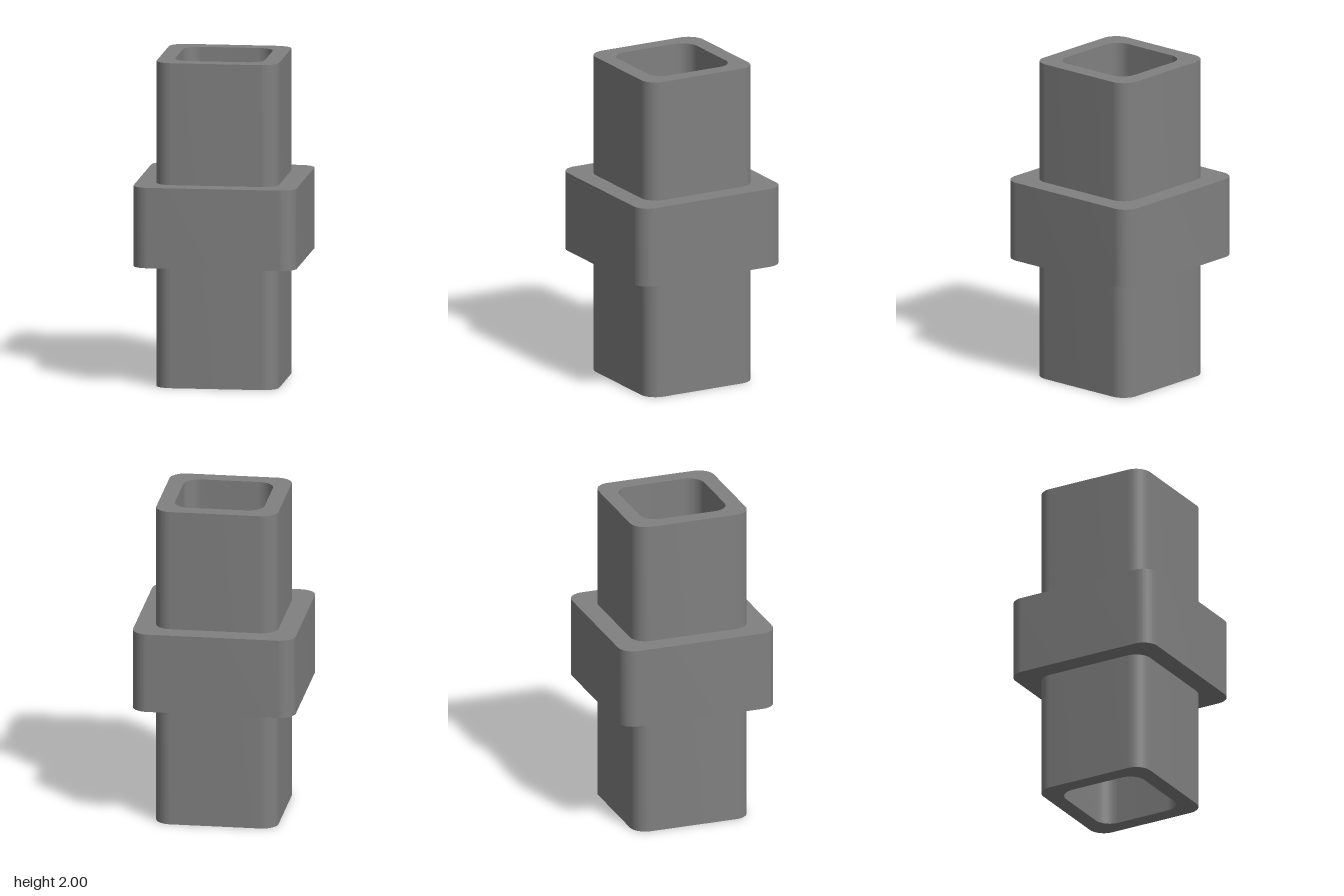
import * as THREE from 'three';
import { toCreasedNormals } from 'three/addons/utils/BufferGeometryUtils.js';

const CORNER = 0.1;

// Trace a rounded square of half-width h, centred on the origin
function roundedSquare(path, h, r = CORNER) {
  const c = h - r;
  const q = Math.PI / 2;
  path.moveTo(h, -c);
  path.lineTo(h, c);
  path.absarc(c, c, r, 0, q, false);
  path.absarc(-c, c, r, q, 2 * q, false);
  path.absarc(-c, -c, r, 2 * q, 3 * q, false);
  path.absarc(c, -c, r, 3 * q, 4 * q, false);
  return path;
}

// Hollow square sleeve standing upright from bottom to top
function sleeve(name, outer, inner, bottom, top, material) {
  const shape = roundedSquare(new THREE.Shape(), outer);
  shape.holes.push(roundedSquare(new THREE.Path(), inner));
  const geometry = new THREE.ExtrudeGeometry(shape, {
    depth: top - bottom,
    bevelEnabled: false,
    curveSegments: 10,
  });
  geometry.rotateX(-Math.PI / 2);
  geometry.translate(0, bottom, 0);
  const mesh = new THREE.Mesh(toCreasedNormals(geometry, 0.6), material);
  mesh.name = name;
  return mesh;
}

export function createModel() {
  const grey = new THREE.MeshStandardMaterial({ color: 0x808080 });
  grey.name = 'grey';

  const model = new THREE.Group();
  model.name = 'squareTubeConnector';

  // Long hollow tube, open at both ends
  model.add(sleeve('tube', 0.375, 0.275, 0, 2, grey));
  // Wider collar around the middle
  model.add(sleeve('collar', 0.5, 0.375, 0.755, 1.25, grey));

  return model;
}
